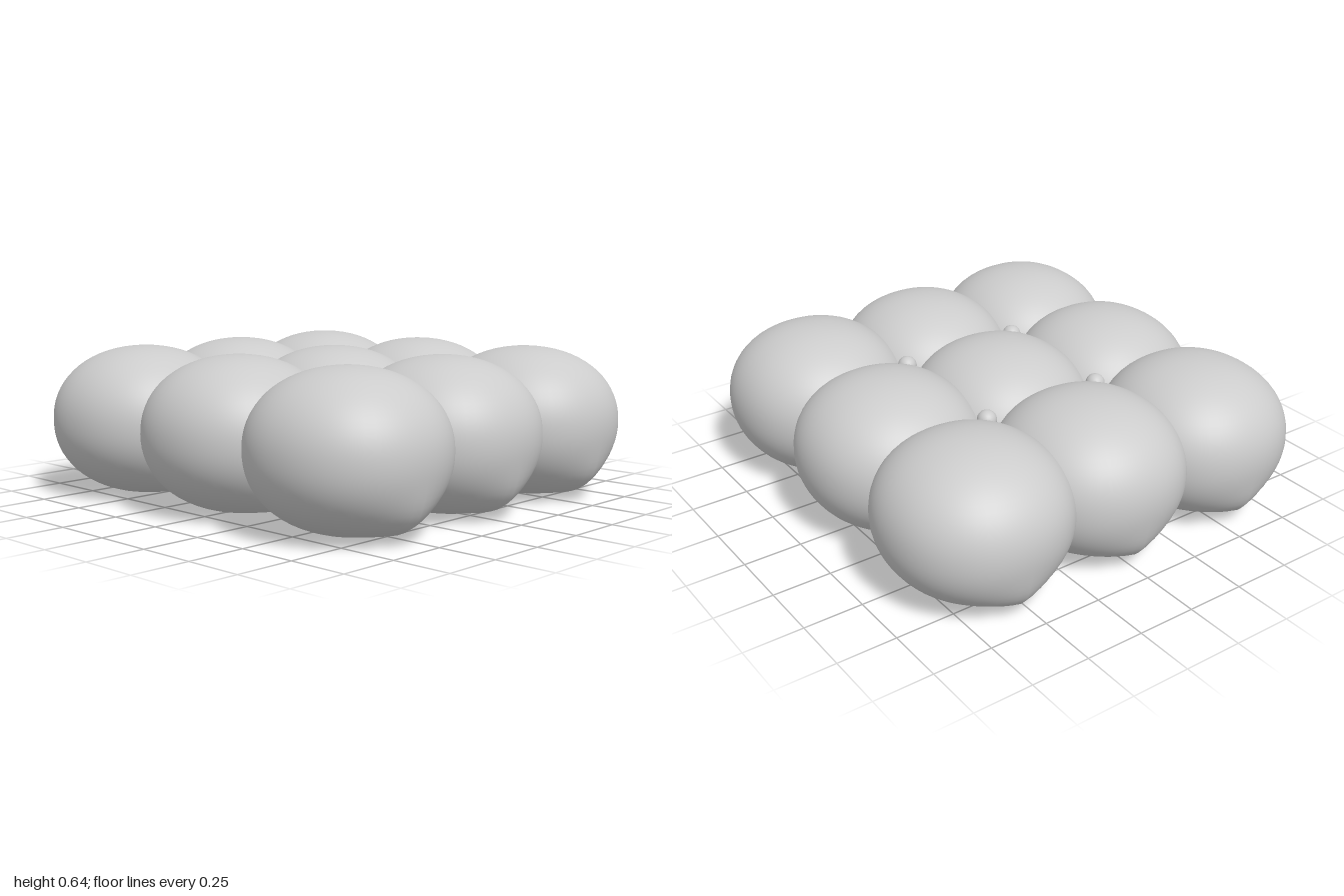
import * as THREE from 'three';
import { mergeVertices } from 'three/addons/utils/BufferGeometryUtils.js';

// Puffy pillow: a slightly squared ellipsoid with soft ridges low on its left and right
function puffGeometry(rx, ry, rz) {
  const n = 2.13, ridge = 0.125;
  let geo = new THREE.SphereGeometry(1, 56, 36);
  geo.deleteAttribute('uv');
  geo.deleteAttribute('normal');
  geo = mergeVertices(geo, 1e-4);
  const pos = geo.attributes.position;
  const v = new THREE.Vector3();
  for (let i = 0; i < pos.count; i++) {
    v.fromBufferAttribute(pos, i).normalize();
    const norm = Math.abs(v.x) ** n + Math.abs(v.y) ** n + Math.abs(v.z) ** n;
    let r = norm ** (-1 / n);
    if (v.y < 0) {
      const corner = (4 * v.x * v.x * v.y * v.y) ** 2;
      r += ridge * 0.8 * corner * (1 - Math.abs(v.z)) ** 2;
    }
    pos.setXYZ(i, v.x * r * rx, v.y * r * ry, v.z * r * rz);
  }
  geo.computeVertexNormals();
  return geo;
}

export function createModel() {
  const group = new THREE.Group();
  group.name = 'tuftedCushion';
  const material = new THREE.MeshStandardMaterial({ color: 0xcccccc });

  // Three by three overlapping puffs
  const stepX = 0.605, stepZ = 0.56, halfHeight = 0.318;
  const puff = puffGeometry(0.395, halfHeight, 0.386);
  for (const ix of [-1, 0, 1]) {
    for (const iz of [-1, 0, 1]) {
      const mesh = new THREE.Mesh(puff, material);
      mesh.name = 'puff';
      mesh.position.set(ix * stepX, halfHeight + 0.003, iz * stepZ);
      group.add(mesh);
    }
  }

  // Round buttons where four puffs meet
  const button = new THREE.SphereGeometry(0.041, 24, 16);
  for (const sx of [-1, 1]) {
    for (const sz of [-1, 1]) {
      const mesh = new THREE.Mesh(button, material);
      mesh.name = 'button';
      mesh.position.set(sx * stepX / 2, 0.49, sz * stepZ / 2);
      group.add(mesh);
    }
  }
  return group;
}
